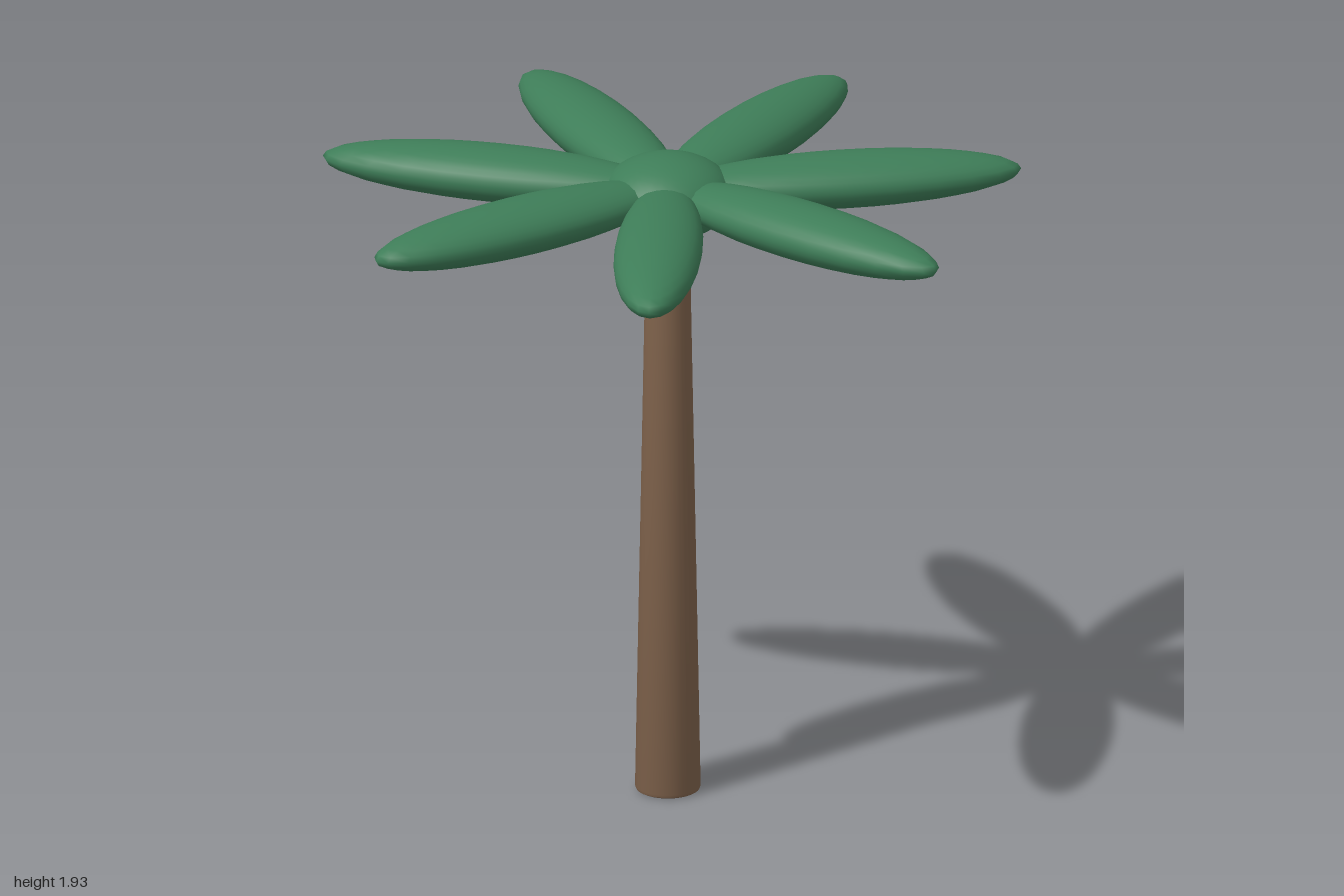
import * as THREE from 'three';
import { toCreasedNormals } from 'three/addons/utils/BufferGeometryUtils.js';

const AXIS_X = -0.055; // trunk axis, offset so the fronds are centred on x = 0
const FROND_COUNT = 7;

export function createModel() {
  const bark = new THREE.MeshStandardMaterial({ color: 0x80634c });
  bark.name = 'bark brown';
  const leaf = new THREE.MeshStandardMaterial({ color: 0x3e7d58 });
  leaf.name = 'leaf green';

  const palm = new THREE.Group();
  palm.name = 'palmTree';

  // Tapered trunk with a small rounded foot
  const profile = [
    [0, 0], [0.084, 0], [0.091, 0.004], [0.094, 0.013], [0.0625, 1.7], [0.062, 1.76], [0, 1.76],
  ].map(([r, y]) => new THREE.Vector2(r, y));
  const trunk = new THREE.Mesh(toCreasedNormals(new THREE.LatheGeometry(profile, 32), 0.7), bark);
  trunk.name = 'trunk';
  trunk.position.x = AXIS_X;
  palm.add(trunk);

  // Flattened crown ball
  const ball = new THREE.SphereGeometry(1, 32, 20);
  const crown = new THREE.Mesh(ball, leaf);
  crown.name = 'crown';
  crown.scale.set(0.19, 0.12, 0.19);
  crown.position.set(AXIS_X, 1.81, 0);
  palm.add(crown);

  // Ring of long ellipsoid fronds, each reaching out from the trunk axis
  const frondShape = new THREE.SphereGeometry(1, 24, 16);
  frondShape.scale(0.513, 0.077, 0.126);
  frondShape.translate(0.513, 0, 0);
  for (let i = 0; i < FROND_COUNT; i++) {
    const frond = new THREE.Mesh(frondShape, leaf);
    frond.name = `frond${i + 1}`;
    frond.position.set(AXIS_X, 1.827, 0);
    frond.rotation.y = (i / FROND_COUNT) * Math.PI * 2;
    palm.add(frond);
  }

  return palm;
}
